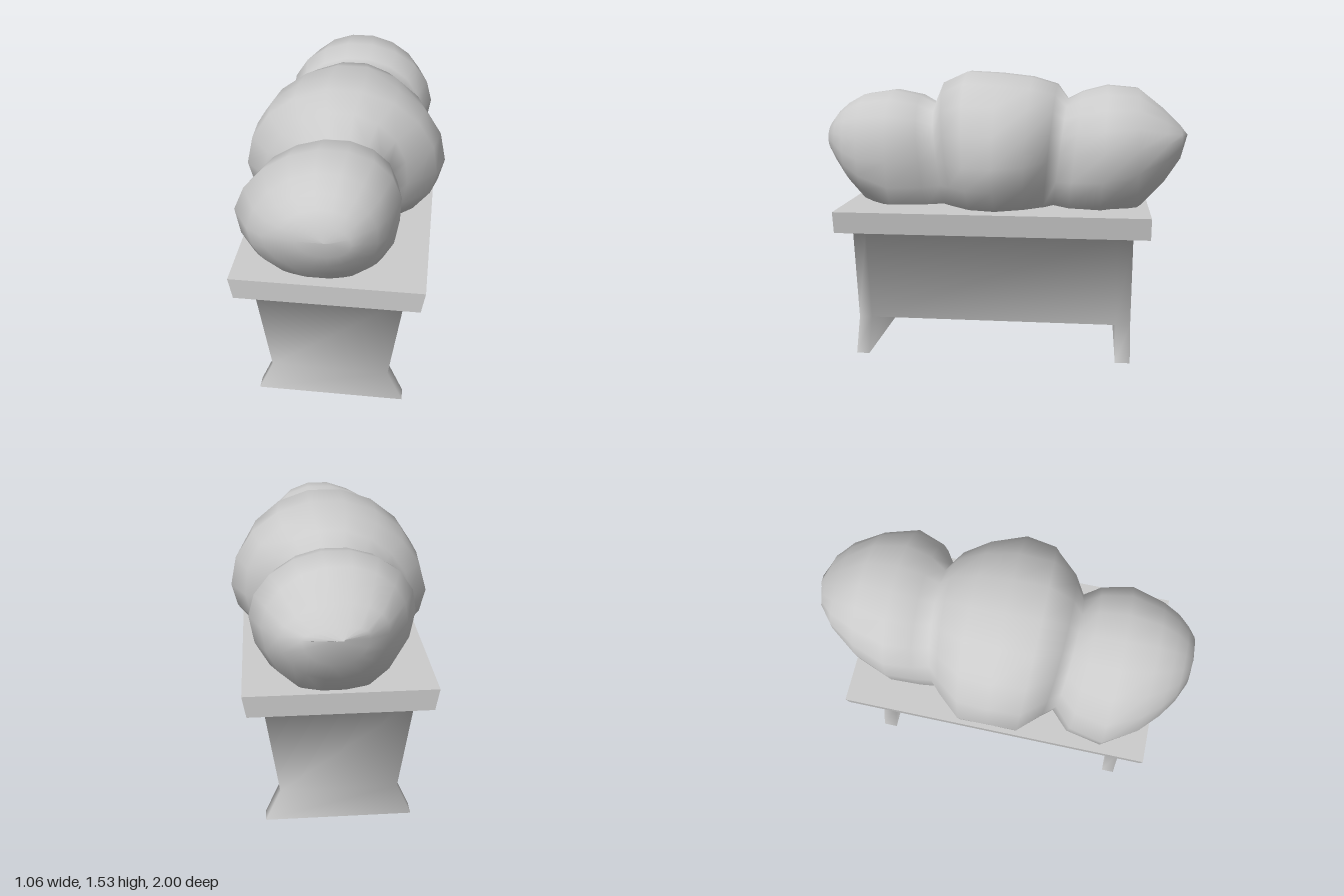
import * as THREE from 'three';
import { mergeVertices } from 'three/addons/utils/BufferGeometryUtils.js';

const material = new THREE.MeshStandardMaterial({ color: 0xcccccc });

function part(name, geometry) {
  const mesh = new THREE.Mesh(geometry, material);
  mesh.name = name;
  return mesh;
}

// Geometry from four-cornered faces, smooth across shared corners (every face counts equally)
function fromQuads(quads) {
  const points = quads.flatMap(([a, b, c, d]) => [a, b, c, a, c, d]).flat();
  const geometry = new THREE.BufferGeometry();
  geometry.setAttribute('position', new THREE.Float32BufferAttribute(points, 3));
  const merged = mergeVertices(geometry);
  const index = merged.index;
  const sums = Array.from({ length: merged.attributes.position.count }, () => new THREE.Vector3());
  quads.forEach((quad, q) => {
    const [a, b, c, d] = quad.map((v) => new THREE.Vector3(...v));
    const normal = c.sub(a).cross(d.sub(b)).normalize();
    for (const k of [0, 1, 2, 5]) sums[index.getX(q * 6 + k)].add(normal);
  });
  const normals = sums.flatMap((n) => n.normalize().toArray());
  merged.setAttribute('normal', new THREE.Float32BufferAttribute(normals, 3));
  return merged;
}

// Tapered trough with a flared foot at each end
function createTrough() {
  const zs = [0.79, 0.72, -0.63, -0.71];
  const levels = [[0.382, 0.697], [0.308, 0.185], [0.388, 0]]; // half width, height
  const p = (k, side, level) => [side * levels[level][0] - 0.008, levels[level][1], zs[k]];
  const quads = [];
  const soles = [];

  const sidePanel = (k, level) => {
    quads.push([p(k, 1, level + 1), p(k + 1, 1, level + 1), p(k + 1, 1, level), p(k, 1, level)]);
    quads.push([p(k, -1, level), p(k + 1, -1, level), p(k + 1, -1, level + 1), p(k, -1, level + 1)]);
  };
  const endPanel = (k, level, facesFront) => {
    const q = [p(k, -1, level + 1), p(k, 1, level + 1), p(k, 1, level), p(k, -1, level)];
    quads.push(facesFront ? q : q.reverse());
  };
  const underside = (k, level) => [p(k, -1, level), p(k + 1, -1, level), p(k + 1, 1, level), p(k, 1, level)];

  for (const k of [0, 1, 2]) sidePanel(k, 0);
  for (const k of [0, 2]) {
    sidePanel(k, 1);
    endPanel(k, 1, true);
    endPanel(k + 1, 1, false);
    soles.push(underside(k, 2));
  }
  endPanel(0, 0, true);
  endPanel(3, 0, false);
  quads.push(underside(1, 1));

  // Ledge joining the trough to the lower edge of the rim
  const rimZs = [0.87, 0.72, -0.63, -0.795];
  const rimPoint = (k, side) => [side * 0.465 - 0.01, 0.697, rimZs[k]];
  for (const k of [0, 1, 2]) {
    quads.push([p(k, 1, 0), p(k + 1, 1, 0), rimPoint(k + 1, 1), rimPoint(k, 1)]);
    quads.push([rimPoint(k, -1), rimPoint(k + 1, -1), p(k + 1, -1, 0), p(k, -1, 0)]);
  }
  quads.push([p(0, -1, 0), p(0, 1, 0), rimPoint(0, 1), rimPoint(0, -1)]);
  quads.push([p(3, 1, 0), p(3, -1, 0), rimPoint(3, -1), rimPoint(3, 1)]);

  const group = new THREE.Group();
  group.name = 'trough';
  group.add(part('troughWalls', fromQuads(quads)), part('footSoles', fromQuads(soles)));
  return group;
}

// Rim slab, slightly narrower at its lower edge; its underside is the ledge
function createRim() {
  const geometry = new THREE.BoxGeometry(0.97, 0.117, 1.665);
  const pos = geometry.attributes.position;
  for (let i = 0; i < pos.count; i++) {
    if (pos.getY(i) < 0) pos.setX(i, Math.sign(pos.getX(i)) * 0.465);
  }
  const index = Array.from(geometry.index.array);
  index.splice(18, 6);
  geometry.setIndex(index);
  geometry.clearGroups();
  geometry.translate(-0.01, 0.7555, 0.0375);
  geometry.computeVertexNormals();
  return part('rim', geometry);
}

// Three bushes grown together, lofted from front to back
function createBushes() {
  // z, right edge, left edge, lowest, widest and highest level of each section
  const sections = [
    [1.0, 0.03, 0.03, 1.17, 1.17, 1.17],
    [0.985, -0.13, 0.13, 1.08, 1.16, 1.25],
    [0.94, -0.23, 0.18, 0.99, 1.14, 1.31],
    [0.88, -0.31, 0.24, 0.9, 1.1, 1.36],
    [0.79, -0.4, 0.28, 0.79, 1.07, 1.41],
    [0.62, -0.5, 0.325, 0.64, 1.06, 1.435],
    [0.45, -0.46, 0.29, 0.64, 1.06, 1.405],
    [0.365, -0.36, 0.24, 0.66, 1.06, 1.36],
    [0.3, -0.42, 0.34, 0.68, 1.06, 1.48],
    [0.18, -0.53, 0.49, 0.69, 1.06, 1.54],
    [0.02, -0.53, 0.53, 0.69, 1.06, 1.53],
    [-0.14, -0.53, 0.45, 0.69, 1.06, 1.51],
    [-0.26, -0.43, 0.34, 0.68, 1.08, 1.47],
    [-0.32, -0.37, 0.25, 0.67, 1.1, 1.39],
    [-0.4, -0.39, 0.37, 0.68, 1.12, 1.43],
    [-0.55, -0.4, 0.43, 0.69, 1.13, 1.465],
    [-0.73, -0.33, 0.37, 0.77, 1.15, 1.45],
    [-0.88, -0.22, 0.29, 0.94, 1.17, 1.33],
    [-0.96, -0.12, 0.19, 1.06, 1.19, 1.25],
    [-1.0, 0.05, 0.05, 1.2, 1.2, 1.2],
  ];
  const sides = 18;
  const point = ([z, right, left, low, mid, top], j) => {
    const angle = ((j % sides) / sides) * Math.PI * 2;
    const s = Math.sin(angle);
    // The crown stays over the middle line; the foot ends inside the rim
    const x = ((left + right) / 2) * (1 - Math.max(s, 0)) + (Math.cos(angle) * (left - right)) / 2;
    const y = Math.max(mid + s * (s > 0 ? top - mid : mid - low), 0.78);
    // The valleys between the bushes spread apart towards the top
    const spread = Math.max(0, 1 - Math.abs(Math.abs(z) - 0.34) / 0.3);
    return [x, y, z + Math.sign(z) * spread * 0.13 * (y - 1.15)];
  };
  const quads = [];
  for (let i = 0; i + 1 < sections.length; i++) {
    const [a, b] = [sections[i], sections[i + 1]];
    for (let j = 0; j < sides; j++) quads.push([point(a, j), point(b, j), point(b, j + 1), point(a, j + 1)]);
  }
  return part('bushes', fromQuads(quads));
}

export function createModel() {
  const model = new THREE.Group();
  model.name = 'planter';
  model.add(createTrough(), createRim(), createBushes());
  return model;
}
